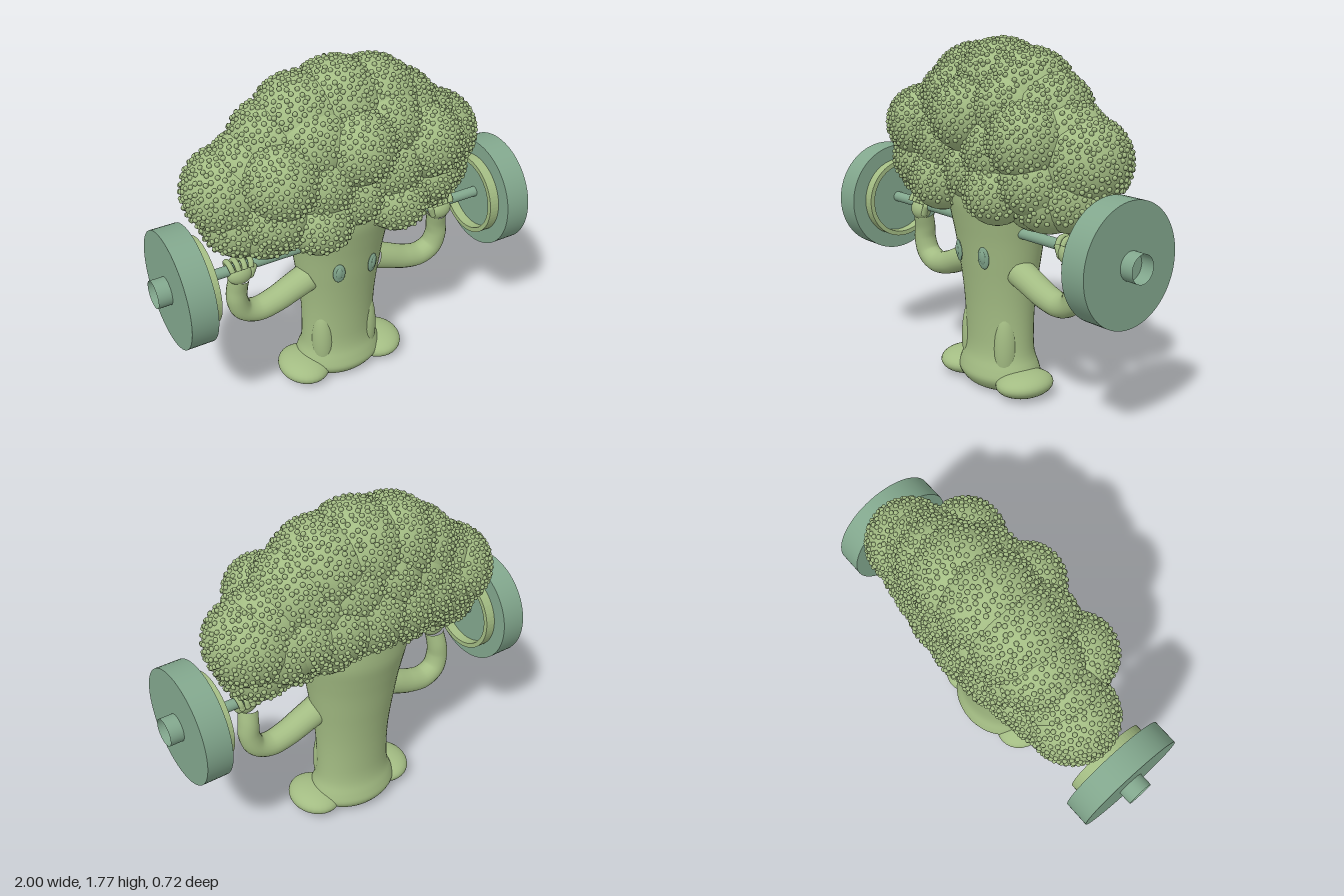
import * as THREE from 'three';
import { mergeGeometries } from 'three/addons/utils/BufferGeometryUtils.js';

const stalkGreen = new THREE.MeshStandardMaterial({ color: 0xa3bc83 });
stalkGreen.name = 'stalkGreen';
// Double sided for the open collars
const teal = new THREE.MeshStandardMaterial({ color: 0x82a78d, side: THREE.DoubleSide });
teal.name = 'teal';

const V = (x, y, z) => new THREE.Vector3(x, y, z);

function add(parent, name, geometry, material, pos = [0, 0, 0], scale = [1, 1, 1], rot = [0, 0, 0]) {
  const mesh = new THREE.Mesh(geometry, material);
  mesh.name = name;
  mesh.position.set(...pos);
  mesh.scale.set(...scale);
  mesh.rotation.set(...rot);
  parent.add(mesh);
  return mesh;
}

// Closed ring along x with sharp edges
function ringGeometry(outer, inner, length) {
  const shape = new THREE.Shape().absarc(0, 0, outer, 0, Math.PI * 2);
  shape.holes.push(new THREE.Path().absarc(0, 0, inner, 0, Math.PI * 2, true));
  return new THREE.ExtrudeGeometry(shape, { depth: length, bevelEnabled: false, curveSegments: 32 })
    .translate(0, 0, -length / 2).rotateY(Math.PI / 2);
}

// Flared oval stalk, deeper towards the top and at the foot
function makeTrunk(group) {
  const profile = [[0.17, 0.015], [0.205, 0.035], [0.24, 0.08], [0.23, 0.13], [0.206, 0.2], [0.2, 0.32],
    [0.203, 0.45], [0.214, 0.57], [0.229, 0.68], [0.246, 0.8], [0.265, 0.9], [0.283, 1.0], [0.28, 1.1]];
  const curve = new THREE.SplineCurve(profile.map(([r, y]) => new THREE.Vector2(r, y)));
  const points = [new THREE.Vector2(0, 0.015), ...curve.getPoints(44)];
  const geometry = new THREE.LatheGeometry(points, 48);
  const p = geometry.attributes.position;
  for (let i = 0; i < p.count; i++) {
    const y = p.getY(i);
    p.setZ(i, p.getZ(i) * (0.7 + 0.18 * y + 0.08 * Math.max(0, 1 - y / 0.25)) - 0.04);
  }
  geometry.computeVertexNormals();
  // Weld the normals across the lathe seam
  const n = geometry.attributes.normal, last = points.length * 48;
  for (let j = 0; j < points.length; j++) {
    const v = V(0, 0, 0).fromBufferAttribute(n, j).add(V(0, 0, 0).fromBufferAttribute(n, last + j)).normalize();
    n.setXYZ(j, v.x, v.y, v.z);
    n.setXYZ(last + j, v.x, v.y, v.z);
  }
  add(group, 'trunk', geometry, stalkGreen);
}

// Lobes: x, y, z, radius; those off the middle are mirrored
function crownLobes() {
  const half = [
    // front, top and sides
    [0, 1.42, 0.162, 0.192], [0.385, 1.335, 0.132, 0.195], [0, 1.53, -0.055, 0.248], [0.19, 1.5, -0.055, 0.245],
    [0.33, 1.43, -0.06, 0.222], [0.57, 1.245, -0.06, 0.223], [0.47, 1.33, -0.05, 0.2],
    // lower rim
    [0.21, 1.08, 0.155, 0.172], [0, 1.15, 0.1, 0.178], [0.53, 1.1, -0.03, 0.2], [0.33, 1.065, 0, 0.19],
    [0.43, 1.08, 0.03, 0.19], [0.41, 1.15, 0.1, 0.18], [0.2, 1.13, -0.1, 0.18],
    // filling at the front and back
    [0.19, 1.27, 0.11, 0.195], [0.19, 1.45, 0.06, 0.2], [0, 1.25, -0.1, 0.258], [0.17, 1.24, -0.095, 0.25],
    [0.32, 1.24, -0.085, 0.233], [0.44, 1.2, -0.08, 0.213], [0.1, 1.4, -0.1, 0.228], [0.28, 1.36, -0.09, 0.213],
  ];
  const all = [];
  for (const [x, y, z, r] of half) {
    for (const s of x ? [1, -1] : [1]) all.push({ c: V(s * x, y, z), r: r - 0.01 });
  }
  return all;
}

function makeCrown(group) {
  const crown = new THREE.Group();
  crown.name = 'crown';
  group.add(crown);
  const lobes = crownLobes();
  add(crown, 'crownLobes', mergeGeometries(lobes.map(({ c, r }) =>
    new THREE.SphereGeometry(r, 24, 15).translate(c.x, c.y, c.z))), stalkGreen);

  // Small domed buds scattered over every exposed lobe, leaving undersides smooth
  let seed = 7;
  const jitter = () => ((seed = (seed * 16807) % 2147483647) / 2147483647 - 0.5) * 0.07;
  const bud = new THREE.SphereGeometry(0.0125, 7, 3, 0, Math.PI * 2, 0, Math.PI * 0.55);
  const buds = [], up = V(0, 1, 0), one = V(1, 1, 1);
  lobes.forEach(({ c, r }, k) => {
    const count = Math.round(4 * Math.PI * r * r / 0.00125);
    for (let i = 0; i < count; i++) {
      const y = 1 - 2 * (i + 0.5) / count, a = i * 2.39996 + k;
      if (y < -0.62) continue;
      const w = Math.sqrt(1 - y * y);
      const normal = V(w * Math.cos(a) + jitter(), y + jitter(), w * Math.sin(a) + jitter()).normalize();
      const pos = normal.clone().multiplyScalar(r).add(c);
      if (lobes.some((o, j) => j !== k && o.c.distanceTo(pos) < o.r + (j < k ? 0.005 : -0.002))) continue;
      const q = new THREE.Quaternion().setFromUnitVectors(up, normal);
      buds.push(bud.clone().applyMatrix4(new THREE.Matrix4().compose(pos, q, one)));
    }
  });
  add(crown, 'crownBuds', mergeGeometries(buds), stalkGreen);
}

// One side of the body: eye, leg, foot, arm and hand
function makeSide(group, s) {
  const side = s > 0 ? 'left' : 'right';
  const ball = new THREE.SphereGeometry(1, 28, 18);

  const eye = new THREE.Group();
  eye.name = side + 'Eye';
  eye.position.set(s * 0.095, 0.725, 0.146);
  eye.rotation.set(0.1, s * 0.35, 0);
  group.add(eye);
  add(eye, 'eyeRim', ball, teal, [0, 0, 0], [0.031, 0.057, 0.012]);
  add(eye, 'eyePupil', ball, teal, [0, 0.004, 0.006], [0.017, 0.036, 0.011]);

  // Leg shows as a soft ridge on the stalk
  add(group, side + 'Leg', ball, stalkGreen, [s * 0.127, 0.24, 0.028], [0.06, 0.21, 0.064]);
  add(group, side + 'Foot', ball, stalkGreen,
    [s * 0.222, 0.072, -0.014], [0.133, 0.066, 0.155], [0, 0, s * 0.06]);

  const armPath = new THREE.CatmullRomCurve3([
    V(s * 0.19, 0.645, -0.01), V(s * 0.27, 0.612, -0.01), V(s * 0.38, 0.567, -0.01), V(s * 0.48, 0.55, -0.01),
    V(s * 0.555, 0.585, -0.008), V(s * 0.582, 0.66, -0.003), V(s * 0.578, 0.73, 0), V(s * 0.568, 0.8, 0.015)]);
  // The arm is slightly oval and thins towards the wrist
  const arm = new THREE.TubeGeometry(armPath, 40, 0.06, 20);
  const p = arm.attributes.position;
  for (let i = 0; i < p.count; i++) {
    const t = Math.floor(i / 21) / 40, c = armPath.getPointAt(t), k = 1.15 - 0.36 * t;
    const v = V(p.getX(i), p.getY(i), p.getZ(i)).sub(c).multiply(V(k, k, k * 1.15)).add(c);
    p.setXYZ(i, v.x, v.y, v.z);
  }
  add(group, side + 'Arm', arm, stalkGreen);

  const hand = new THREE.Group();
  hand.name = side + 'Hand';
  group.add(hand);
  add(hand, 'palm', ball, stalkGreen, [s * 0.572, 0.828, 0.03], [0.066, 0.055, 0.044]);
  // Fingers fan out and curl over the bar
  for (let i = 0; i < 4; i++) {
    const arc = [];
    for (let k = 0; k <= 5; k++) {
      const a = 2.9 - k * 0.62;
      const x = s * (0.572 + (i - 1.5) * (0.03 + 0.006 * Math.sin(a)));
      arc.push(V(x, 0.858 + 0.043 * Math.sin(a), 0.02 - 0.043 * Math.cos(a)));
    }
    add(hand, 'finger', new THREE.TubeGeometry(new THREE.CatmullRomCurve3(arc), 14, 0.0145, 8), stalkGreen);
    add(hand, 'fingertip', new THREE.SphereGeometry(0.016, 10, 8), stalkGreen, arc[5].toArray());
  }
  add(hand, 'thumb', new THREE.CapsuleGeometry(0.017, 0.045, 6, 10), stalkGreen,
    [s * 0.515, 0.835, 0.045], [1, 1, 1], [0, 0, s * 0.4]);
}

// Bar with a heavy plate, inner ring and hollow collar at each end
function makeBarbell(group) {
  const barbell = new THREE.Group();
  barbell.name = 'barbell';
  barbell.position.set(0, 0.857, 0.02);
  group.add(barbell);
  add(barbell, 'bar', new THREE.CylinderGeometry(0.027, 0.027, 1.64, 24).rotateZ(Math.PI / 2), teal);
  for (const s of [1, -1]) {
    add(barbell, 'weightPlate', new THREE.CylinderGeometry(0.289, 0.289, 0.13, 64).rotateZ(Math.PI / 2),
      teal, [s * 0.867, 0, 0]);
    add(barbell, 'innerRing', ringGeometry(0.212, 0.188, 0.055), stalkGreen, [s * 0.778, 0, 0]);
    add(barbell, 'endCollar', new THREE.CylinderGeometry(0.068, 0.068, 0.07, 40, 1, true).rotateZ(Math.PI / 2),
      teal, [s * 0.965, 0, 0]);
  }
}

export function createModel() {
  const group = new THREE.Group();
  group.name = 'weightliftingBroccoli';
  makeTrunk(group);
  makeCrown(group);
  makeSide(group, 1);
  makeSide(group, -1);
  makeBarbell(group);
  return group;
}
